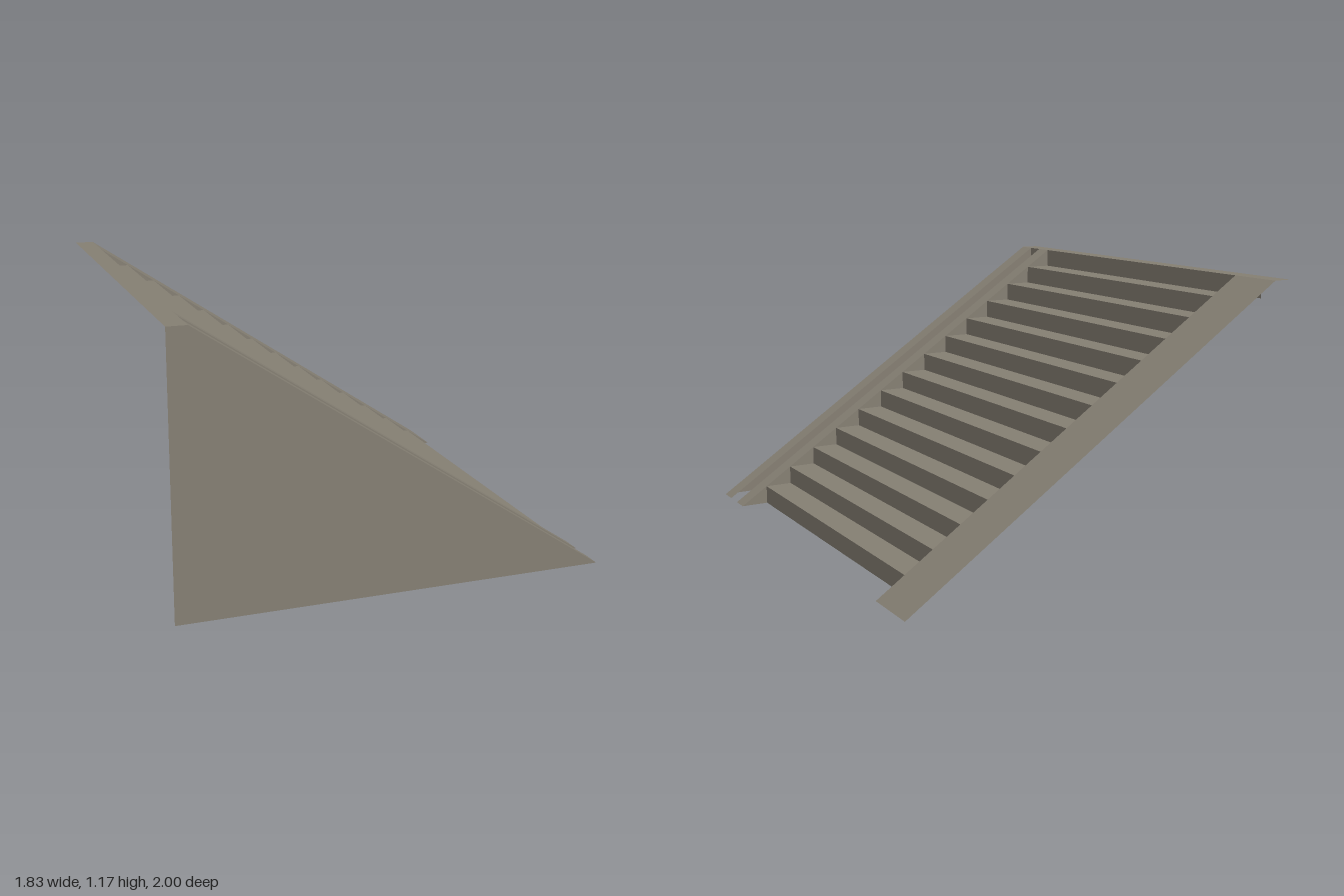
import * as THREE from 'three';

const U = 1 / 12;              // riser height
const STEPS = 13, TREAD = 1.5 * U;
const LEFT = -11 * U, LIP = -10 * U, TIP = 11 * U, TOP = 14 * U;

export function createModel() {
  const group = new THREE.Group();
  const stone = new THREE.MeshStandardMaterial({ color: 0x857f73, side: THREE.DoubleSide });
  stone.name = 'warmGreyStone';

  function add(name, geometry) {
    const mesh = new THREE.Mesh(geometry, stone);
    mesh.name = name;
    group.add(mesh);
    return mesh;
  }

  // Sweeps an xy profile from zFront to zBack as flat facets
  function sheet(name, profile, zFront, zBack) {
    const v = [];
    for (let i = 0; i < profile.length - 1; i++) {
      const [ax, ay] = profile[i], [bx, by] = profile[i + 1];
      v.push(ax, ay, zFront, bx, by, zFront, bx, by, zBack);
      v.push(ax, ay, zFront, bx, by, zBack, ax, ay, zBack);
    }
    const g = new THREE.BufferGeometry();
    g.setAttribute('position', new THREE.Float32BufferAttribute(v, 3));
    g.computeVertexNormals();
    add(name, g);
  }

  // Flat upright panel in the xy plane
  function panel(name, points, z) {
    const shape = new THREE.Shape(points.map(([x, y]) => new THREE.Vector2(x, y)));
    add(name, new THREE.ShapeGeometry(shape)).position.z = z;
  }

  // Side wall
  panel('sideWall', [[LEFT, 0], [TIP, 0], [LIP, TOP], [LEFT, TOP]], 1);

  // Top ledge and the drop below its lip
  sheet('topLedge', [[LEFT, TOP], [LIP, TOP]], 1, -1);
  sheet('ledgeLip', [[LIP, TOP], [LIP, TOP - U]], 11 * U, -11 * U);

  // Sloping borders, with an open slot between the two front ones
  const slope = [[LIP, TOP], [TIP, 0]];
  sheet('outerBorder', slope, 1, 11 * U);
  sheet('frontBorder', slope, 10 * U, 0.75);
  sheet('backBorder', slope, -0.75, -1);

  // Skirts below the border edges
  const band = [[LIP, TOP], [LIP, TOP - U], [TIP - TREAD, 0], [TIP, 0]];
  for (const z of [10 * U, 0.75, -0.75]) panel('borderSkirt', band, z);

  // Steps
  const stairs = [];
  for (let i = 0; i < STEPS; i++) {
    const y = TOP - (i + 1) * U;
    stairs.push([LIP + i * TREAD, y], [LIP + (i + 1) * TREAD, y]);
  }
  stairs.push([TIP - TREAD, 0]);
  sheet('steps', stairs, 0.75, -0.75);

  return group;
}
